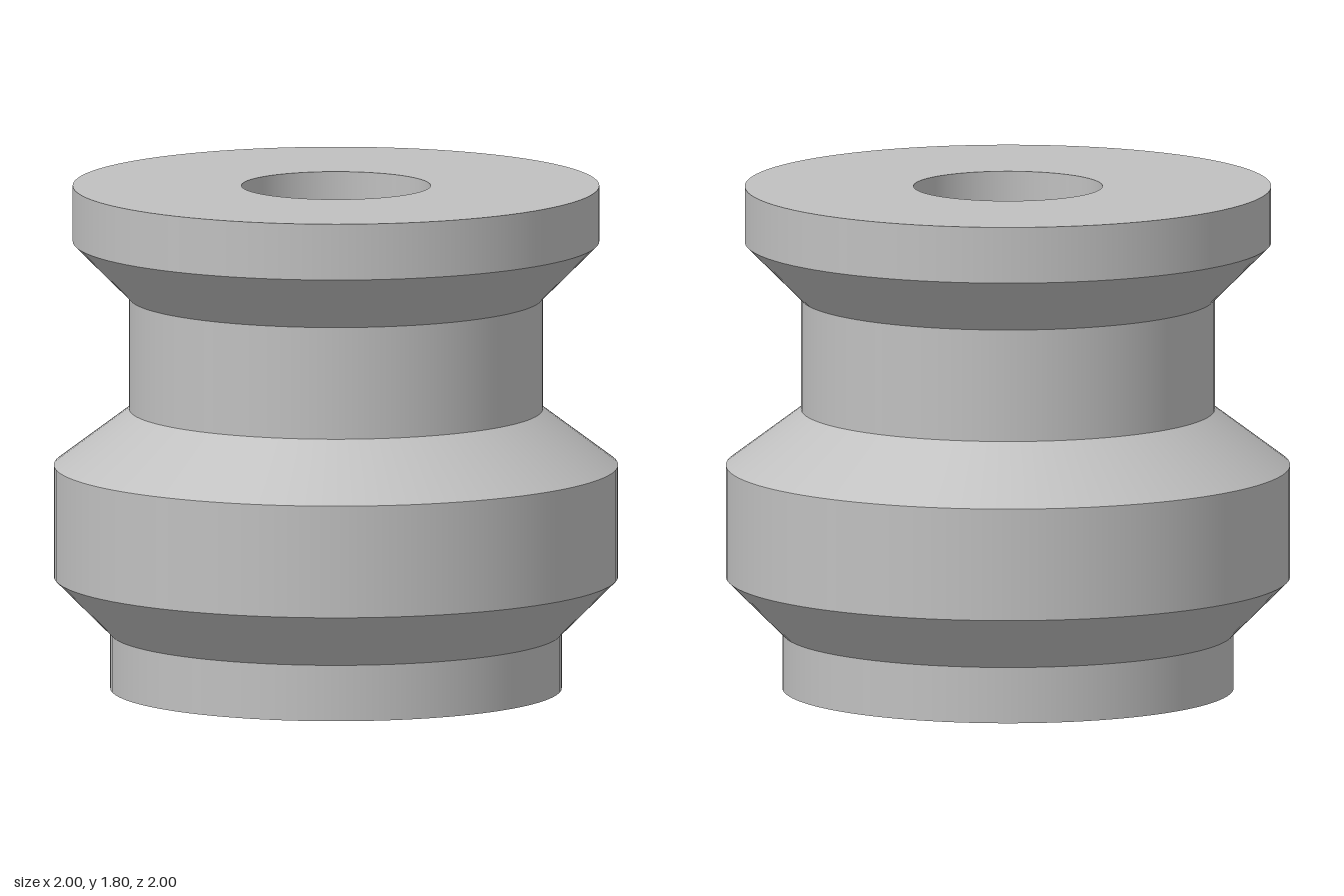
import * as THREE from 'three';

export function createModel() {
  const group = new THREE.Group();
  group.name = 'groovedBushing';
  const metal = new THREE.MeshStandardMaterial({ color: 0xc0c0c0 });
  metal.name = 'grey metal';

  // Closed cross-section [radius, height, name of the band that starts here]
  const profile = [
    [0.335, 0, 'bottomFace'],
    [0.8, 0, 'foot'],
    [0.8, 0.2, 'lowerBevel'],
    [1, 0.4, 'wideBand'],
    [1, 0.8, 'shoulder'],
    [0.733, 1, 'neck'],
    [0.733, 1.4, 'rimBevel'],
    [0.933, 1.6, 'rim'],
    [0.933, 1.8, 'topFace'],
    [0.335, 1.8, 'bore'],
  ];

  // Each band is lathed on its own, so edges between bands stay sharp
  profile.forEach(([r, y, name], i) => {
    const [r2, y2] = profile[(i + 1) % profile.length];
    const points = [new THREE.Vector2(r, y), new THREE.Vector2(r2, y2)];
    const band = new THREE.Mesh(new THREE.LatheGeometry(points, 96), metal);
    band.name = name;
    group.add(band);
  });
  return group;
}
